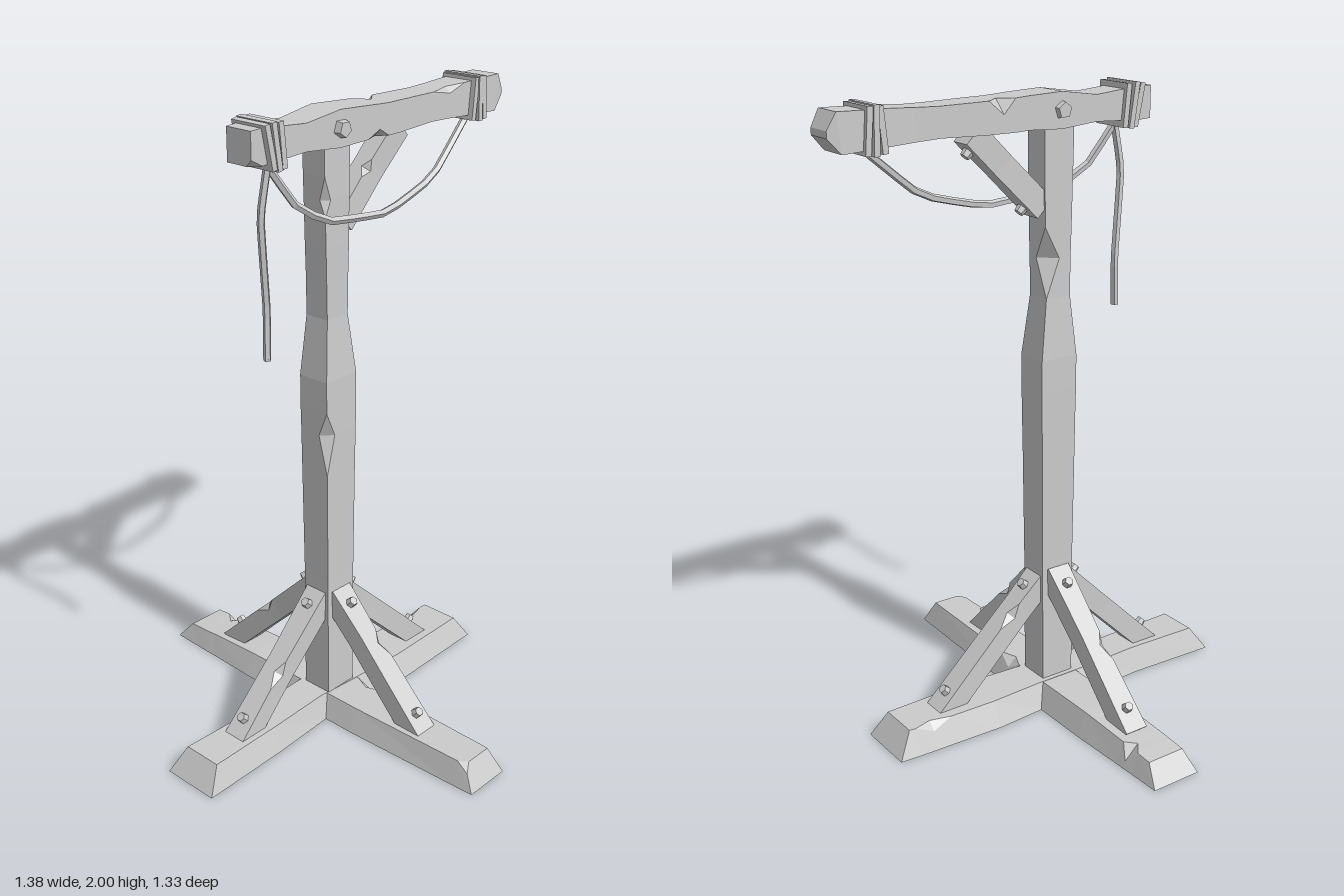
import * as THREE from 'three';

const mat = new THREE.MeshStandardMaterial({ color: 0xcccccc, flatShading: true, side: THREE.DoubleSide });
const V = (x, y, z) => new THREE.Vector3(x, y, z);
const CX = -0.07; // post centre line

function mesh(name, geo) {
  const m = new THREE.Mesh(geo, mat);
  m.name = name;
  return m;
}

// Hewn timber: lofts rectangles [s, u0, u1, v0, v1, {corner: chipSize}] along an axis (0 x, 1 y, 2 z).
function timber(name, axis, sections, warp) {
  const rings = sections.map(([s, u0, u1, v0, v1, chips = {}]) => {
    const c = [[u0, v0], [u1, v0], [u1, v1], [u0, v1]].map(p => new THREE.Vector2(...p));
    const ring = [];
    c.forEach((p, k) => {
      for (const q of [c[(k + 3) % 4], c[(k + 1) % 4]]) {
        const r = q.clone().sub(p).setLength(chips[k] || 0).add(p);
        const w = V();
        w.setComponent(axis, s);
        w.setComponent((axis + 1) % 3, r.x);
        w.setComponent((axis + 2) % 3, r.y);
        if (warp) warp(w);
        ring.push(w);
      }
    });
    return ring;
  });
  const out = [];
  const tri = (a, b, c) => {
    if (b.clone().sub(a).cross(c.clone().sub(a)).length() > 1e-8) out.push(a, b, c);
  };
  for (let i = 0; i + 1 < rings.length; i++) {
    const A = rings[i], B = rings[i + 1];
    for (let k = 0; k < 8; k++) {
      const n = (k + 1) % 8;
      tri(A[k], A[n], B[n]);
      tri(A[k], B[n], B[k]);
    }
  }
  const F = rings[0], L = rings[rings.length - 1];
  for (let k = 1; k < 7; k++) {
    tri(F[0], F[k + 1], F[k]);
    tri(L[0], L[k], L[k + 1]);
  }
  const g = new THREE.BufferGeometry().setFromPoints(out);
  g.computeVertexNormals();
  return mesh(name, g);
}

function bolt(r, h, sides) {
  return mesh('bolt', new THREE.CylinderGeometry(r * 0.8, r, h, sides));
}

// Diagonal strut from a to b, with two bolts on one face
function brace(name, a, b, thick, width, boltSide, chipAt) {
  const g = new THREE.Group();
  g.name = name;
  const dir = b.clone().sub(a), len = dir.length(), t = thick / 2, w = width / 2;
  dir.normalize();
  const side = dir.clone().cross(V(0, 1, 0)).normalize();
  g.quaternion.setFromRotationMatrix(new THREE.Matrix4().makeBasis(dir, side.clone().cross(dir), side));
  g.position.copy(a);
  g.add(timber(name + 'Timber', 0, [
    [0, -t, t, -w, w],
    [len * (chipAt - 0.1), -t, t, -w * 0.92, w * 0.9],
    [len * chipAt, -t, t, -w * 0.9, w * 0.88, { 2: 0.022 }],
    [len * (chipAt + 0.08), -t, t, -w * 0.88, w * 0.88],
    [len, -t, t, -w, w]]));
  for (const f of [0.13, 0.89]) {
    const m = bolt(0.018, 0.024, 6);
    m.position.set(len * f, boltSide * (t + 0.008), 0);
    if (boltSide < 0) m.rotation.x = Math.PI;
    g.add(m);
  }
  return g;
}

// One turn of rope wrapped squarely round the top beam
function wrap(x, tilt, size) {
  const rect = (P, w, h) => new P([[-w, -h], [w, -h], [w, h], [-w, h]].map(p => new THREE.Vector2(...p)));
  const s = rect(THREE.Shape, 0.069 * size, 0.069 * size);
  s.holes.push(rect(THREE.Path, 0.045, 0.046));
  const geo = new THREE.ExtrudeGeometry(s, { depth: 0.018, bevelEnabled: false });
  geo.translate(0, 0, -0.009).rotateY(Math.PI / 2).rotateZ(tilt);
  const m = mesh('ropeWrap', geo);
  m.position.set(x, 1.926, 0);
  return m;
}

function rope(name, pts) {
  const path = new THREE.CatmullRomCurve3(pts.map(p => V(...p)), false, 'catmullrom', 0.15);
  const g = new THREE.Group();
  g.name = name;
  g.add(mesh(name + 'Strand', new THREE.TubeGeometry(path, 14, 0.012, 5)));
  // end caps
  for (const p of [pts[0], pts[pts.length - 1]]) {
    const cap = mesh('ropeEnd', new THREE.CylinderGeometry(0.012, 0.012, 0.006, 5));
    cap.position.set(...p);
    g.add(cap);
  }
  return g;
}

export function createModel() {
  const root = new THREE.Group();
  root.name = 'woodenPost';

  // Crossed base beams, narrowing upward with sloped ends
  root.add(timber('baseBeamAcross', 0, [
    [-0.69, 0, 0.08, -0.1, 0.095],
    [-0.38, 0, 0.08, -0.088, 0.085],
    [-0.16, 0, 0.08, -0.1, 0.07],
    [0.02, 0, 0.08, -0.1, 0.09],
    [0.2, 0, 0.08, -0.113, 0.105],
    [0.36, 0, 0.08, -0.108, 0.1],
    [0.43, 0, 0.08, -0.106, 0.098, { 1: 0.025 }],
    [0.49, 0, 0.08, -0.104, 0.096],
    [0.56, 0, 0.08, -0.1, 0.095]], p => {
    const k = p.y / 0.08;
    p.z *= 1 - 0.32 * k;
    if (p.x < -0.6) p.x += 0.053 * k;
    if (p.x > 0.55) p.x -= 0.05 * k;
  }));
  root.add(timber('baseBeamAlong', 2, [
    [-0.667, -0.15, 0.02, 0, 0.062],
    [-0.56, -0.153, 0.022, 0, 0.066],
    [-0.52, -0.155, 0.024, 0, 0.068, { 2: 0.045 }],
    [-0.49, -0.155, 0.024, 0, 0.07],
    [-0.3, -0.162, 0.03, 0, 0.079],
    [0.07, -0.16, 0.03, 0, 0.079],
    [0.12, -0.16, 0.028, 0, 0.079, { 2: 0.03 }],
    [0.18, -0.16, 0.027, 0, 0.079],
    [0.59, -0.145, 0.017, 0, 0.079],
    [0.662, -0.142, 0.015, 0, 0.079, { 3: 0.025 }]], p => {
    const k = p.y / 0.08;
    p.x = CX + (p.x - CX) * (1 - 0.3 * k);
    if (p.z < -0.6) p.z += 0.07 * k;
    if (p.z > 0.62) p.z -= 0.045 * k;
  }));

  // Upright post with chipped corners
  root.add(timber('post', 1, [
    [0.05, -0.052, 0.052, -0.128, -0.012],
    [0.5, -0.05, 0.052, -0.128, -0.01],
    [0.87, -0.053, 0.054, -0.131, -0.006],
    [1.0, -0.054, 0.055, -0.132, -0.004, { 1: 0.034 }],
    [1.08, -0.055, 0.055, -0.133, -0.003],
    [1.18, -0.055, 0.055, -0.133, -0.003],
    [1.37, -0.044, 0.041, -0.114, -0.026],
    [1.49, -0.043, 0.041, -0.116, -0.024, { 3: 0.05 }],
    [1.59, -0.043, 0.042, -0.119, -0.022],
    [1.68, -0.043, 0.042, -0.121, -0.021],
    [1.73, -0.043, 0.043, -0.122, -0.02, { 1: 0.022 }],
    [1.8, -0.043, 0.043, -0.124, -0.02],
    [1.9, -0.043, 0.043, -0.125, -0.02]]));

  // Top beam with a wedge-shaped tip
  root.add(timber('topBeam', 0, [
    [-0.41, 1.88, 1.978, -0.047, 0.047, { 3: 0.02 }],
    [-0.37, 1.878, 1.98, -0.05, 0.048],
    [-0.2, 1.887, 1.966, -0.055, 0.048],
    [-0.07, 1.877, 1.985, -0.06, 0.055],
    [0.04, 1.882, 1.98, -0.054, 0.06, { 3: 0 }],
    [0.09, 1.88, 1.977, -0.054, 0.06, { 3: 0.024 }],
    [0.13, 1.88, 1.975, -0.053, 0.06, { 1: 0.042 }],
    [0.18, 1.88, 1.975, -0.052, 0.058],
    [0.34, 1.885, 1.973, -0.05, 0.05],
    [0.42, 1.882, 1.976, -0.051, 0.049, { 2: 0.018 }],
    [0.49, 1.878, 1.98, -0.052, 0.048],
    [0.648, 1.87, 1.984, -0.054, 0.047],
    [0.688, 1.915, 1.935, -0.048, 0.041]], p => {
    if (p.x > 0.6 && p.x < 0.66 && p.y > 1.95) p.x += 0.012;
  }));
  for (const s of [1, -1]) {
    const m = bolt(0.03, 0.03, 5);
    m.rotation.x = s * Math.PI / 2;
    m.position.set(CX, 1.932, s * 0.06);
    root.add(m);
  }

  // Four struts from base to post: [dx, dz, foot radius, top height, chip position]
  for (const [name, dx, dz, r, h, chip] of [
    ['leftBrace', 1, 0, 0.43, 0.43, 0.7], ['rightBrace', -1, 0, 0.415, 0.43, 0.45],
    ['frontBrace', 0, 1, 0.4, 0.43, 0.6], ['backBrace', 0, -1, 0.445, 0.45, 0.5]]) {
    root.add(brace(name, V(CX + dx * r, 0.05, dz * r), V(CX + dx * 0.03, h, dz * 0.03), 0.07, 0.08, 1, chip));
  }

  // Strut under the long arm
  root.add(brace('topBrace', V(-0.025, 1.645, -0.003), V(0.22, 1.885, -0.003), 0.075, 0.07, -1, 0.5));

  // Rope turns, sagging rope and loose end
  for (const w of [[-0.352, 0.2, 0.95], [-0.332, 0.15, 1], [-0.307, 0.1, 0.95],
    [0.527, -0.1, 0.94], [0.548, 0.02, 1], [0.57, 0.08, 0.96]]) root.add(wrap(...w));
  root.add(rope('saggingRope', [[-0.325, 1.865, 0.02], [-0.245, 1.745, 0.045], [-0.135, 1.68, 0.063],
    [0.115, 1.655, 0.065], [0.35, 1.715, 0.045], [0.545, 1.865, 0.015]]));
  root.add(rope('hangingRope', [[-0.325, 1.865, 0.02], [-0.345, 1.72, 0.01], [-0.32, 1.45, 0], [-0.327, 1.3, 0.005]]));
  return root;
}
